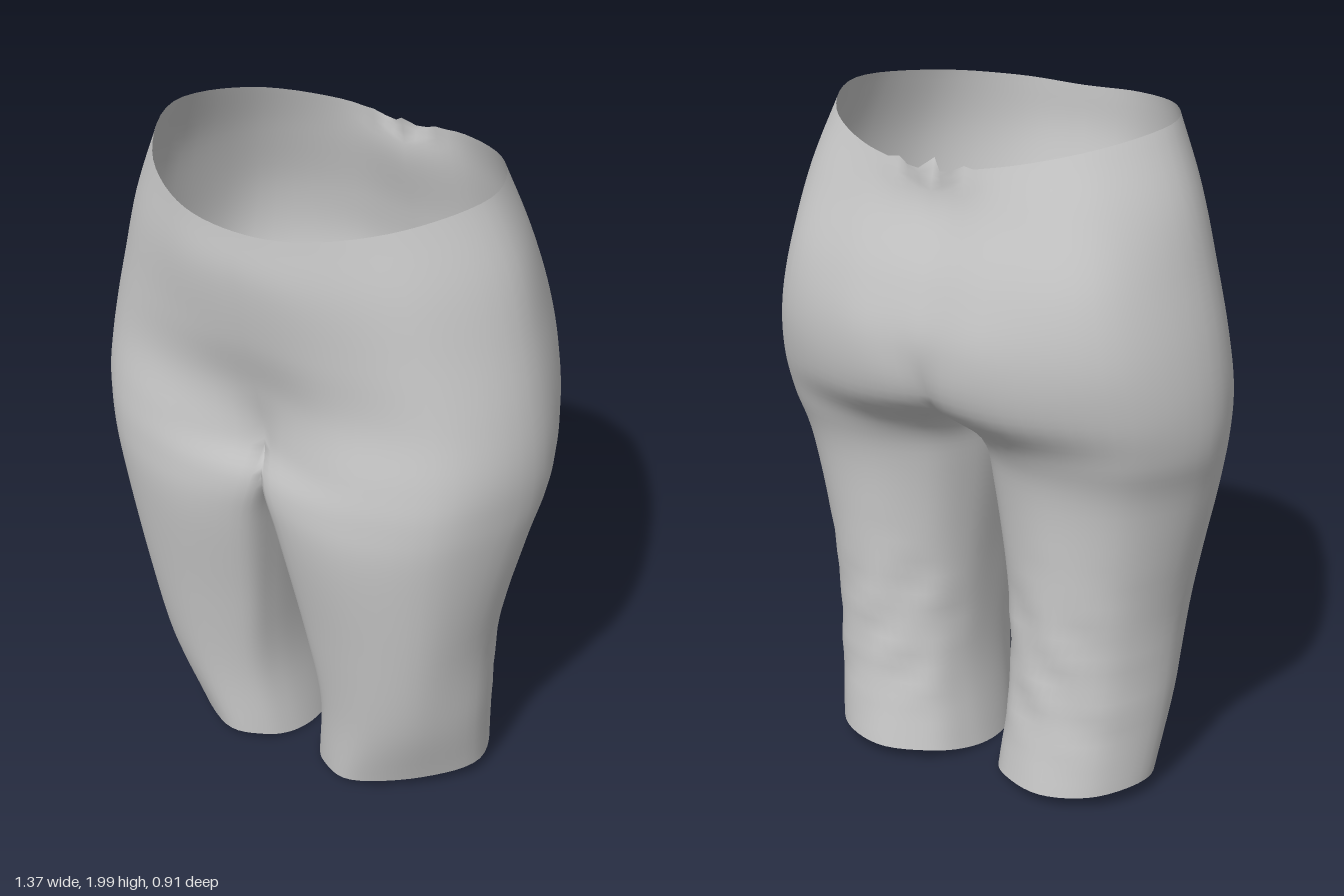
import * as THREE from 'three';
import { mergeVertices } from 'three/addons/utils/BufferGeometryUtils.js';

const SUB = 6; // subdivisions between control points

// Left half of the pelvis, from waist down: y at [front, side, back],
// then x,z points from front centre round the hip to back centre.
const PELVIS = [
  { y: [1.95, 2.0, 1.91], p: [0, .45, .2, .415, .39, .265, .5, .02, .405, -.215, .2, -.36, 0, -.375] },
  { y: [1.8, 1.8, 1.8], p: [0, .452, .22, .418, .455, .265, .58, 0, .46, -.26, .22, -.385, 0, -.378] },
  { y: [1.6, 1.6, 1.6], p: [0, .418, .25, .393, .5, .265, .63, 0, .505, -.305, .24, -.43, 0, -.428] },
  { y: [1.42, 1.42, 1.42], p: [0, .366, .27, .372, .54, .265, .667, 0, .54, -.31, .24, -.45, 0, -.448] },
];

// Left leg, from crotch seam to hem: y at [front, side, back, inside],
// then x,z points all the way round; the first row closes along x = 0.
const LEG = [
  { y: [1.25, 1.26, 1.25, 1.17], p: [0, .33, .28, .387, .565, .275, .685, 0, .56, -.28, .25, -.418, 0, -.39, 0, -.2, 0, 0, 0, .18] },
  { y: [1.12, 1.12, 1.12, 1.08], p: [.025, .373, .29, .4, .56, .285, .68, 0, .55, -.245, .29, -.325, .1, -.275, .025, -.13, .005, .03, .005, .25] },
  { y: [.95, .95, .95, .95], p: [.07, .365, .3, .392, .535, .285, .645, .03, .52, -.2, .3, -.275, .12, -.225, .035, -.1, .013, .05, .018, .24] },
  { y: [.6, .6, .6, .6], p: [.115, .3, .31, .33, .49, .25, .568, .04, .48, -.17, .31, -.25, .15, -.195, .075, -.09, .055, .05, .062, .205] },
  { y: [.3, .3, .3, .3], p: [.14, .25, .3, .28, .455, .2, .545, .02, .46, -.18, .3, -.25, .15, -.2, .085, -.1, .065, .03, .08, .16] },
  { y: [.03, .06, .04, .01], p: [.11, .21, .23, .243, .41, .13, .52, -.03, .44, -.21, .28, -.275, .12, -.215, .05, -.1, .03, .02, .05, .13] },
];

// Control points of one section, with the heights blended around it
function sectionPoints({ y, p }) {
  const [front, side, back, inside] = y;
  const mix = THREE.MathUtils.lerp;
  const heights = [
    front, mix(front, side, .25), mix(front, side, .7), side,
    mix(side, back, .3), mix(side, back, .75), back,
    mix(back, inside, .7), inside, mix(inside, front, .3),
  ];
  const points = [];
  for (let i = 0; i < p.length / 2; i++) points.push(new THREE.Vector3(p[2 * i], heights[i], p[2 * i + 1]));
  return points;
}

// Smooth closed ring; pelvis halves are mirrored so the centre stays smooth
function ring(row) {
  const pts = sectionPoints(row);
  if (pts.length === 7) {
    for (let i = 5; i > 0; i--) pts.push(new THREE.Vector3(-pts[i].x, pts[i].y, pts[i].z));
  }
  const curve = new THREE.CatmullRomCurve3(pts, true, 'catmullrom', 0.5);
  const n = pts.length * SUB;
  return Array.from({ length: n }, (_, i) => curve.getPoint(i / n));
}

function trousersGeometry() {
  const rings = [...PELVIS, ...LEG].map(ring);
  const outer = 6 * SUB;             // columns 0..outer run from waist to hem
  const around = 10 * SUB;           // the rest are the inside of the leg
  const crotch = PELVIS.length * SUB;
  const rows = (rings.length - 1) * SUB;

  // Splines running down the garment
  const columns = [];
  for (let j = 0; j < around; j++) {
    const start = j <= outer ? 0 : PELVIS.length;
    const curve = new THREE.CatmullRomCurve3(rings.slice(start).map(r => r[j]), false, 'catmullrom', 0.5);
    const column = [];
    for (let i = start * SUB; i <= rows; i++) {
      const v = curve.getPoint((i - start * SUB) / (rows - start * SUB));
      v.x = Math.max(0, v.x);
      // Gathers at the back of the waistband
      if (i < 3 && v.z < -.3 && v.x < .15) {
        const pull = (1 - i / 3) * (1 - v.x / .15);
        v.y += .02 * pull * Math.cos(v.x * 63);
        v.z += .02 * pull * Math.cos(v.x * 63);
      }
      // Soft, slanting folds behind the knee
      if (v.y < .8 && v.y > .1) {
        const fold = Math.sin((v.y - .1) / .7 * Math.PI) * THREE.MathUtils.smoothstep(-v.z, -.05, .2);
        v.z += .007 * fold * Math.sin(v.y * 33 + v.x * 22) * Math.cos(v.y * 9 - v.x * 13);
      }
      column[i] = v;
    }
    columns.push(column);
  }

  // Left half and its mirror image, welded along the centre
  const positions = [];
  const triangle = (a, b, c, s) => {
    for (const v of s > 0 ? [a, b, c] : [a, c, b]) positions.push(s * v.x, v.y, v.z);
  };
  for (const s of [1, -1]) {
    for (let j = 0; j < around; j++) {
      const left = columns[j], right = columns[(j + 1) % around];
      for (let i = j < outer ? 0 : crotch; i < rows; i++) {
        triangle(left[i], left[i + 1], right[i + 1], s);
        triangle(left[i], right[i + 1], right[i], s);
      }
    }
  }
  const geometry = new THREE.BufferGeometry();
  geometry.setAttribute('position', new THREE.Float32BufferAttribute(positions, 3));
  const welded = mergeVertices(geometry, 1e-5);
  welded.computeVertexNormals();
  return welded;
}

export function createModel() {
  const group = new THREE.Group();
  group.name = 'trousers';
  const cloth = new THREE.MeshStandardMaterial({ color: 0xcccccc, side: THREE.DoubleSide });
  const mesh = new THREE.Mesh(trousersGeometry(), cloth);
  mesh.name = 'trouserCloth';
  group.add(mesh);
  return group;
}
